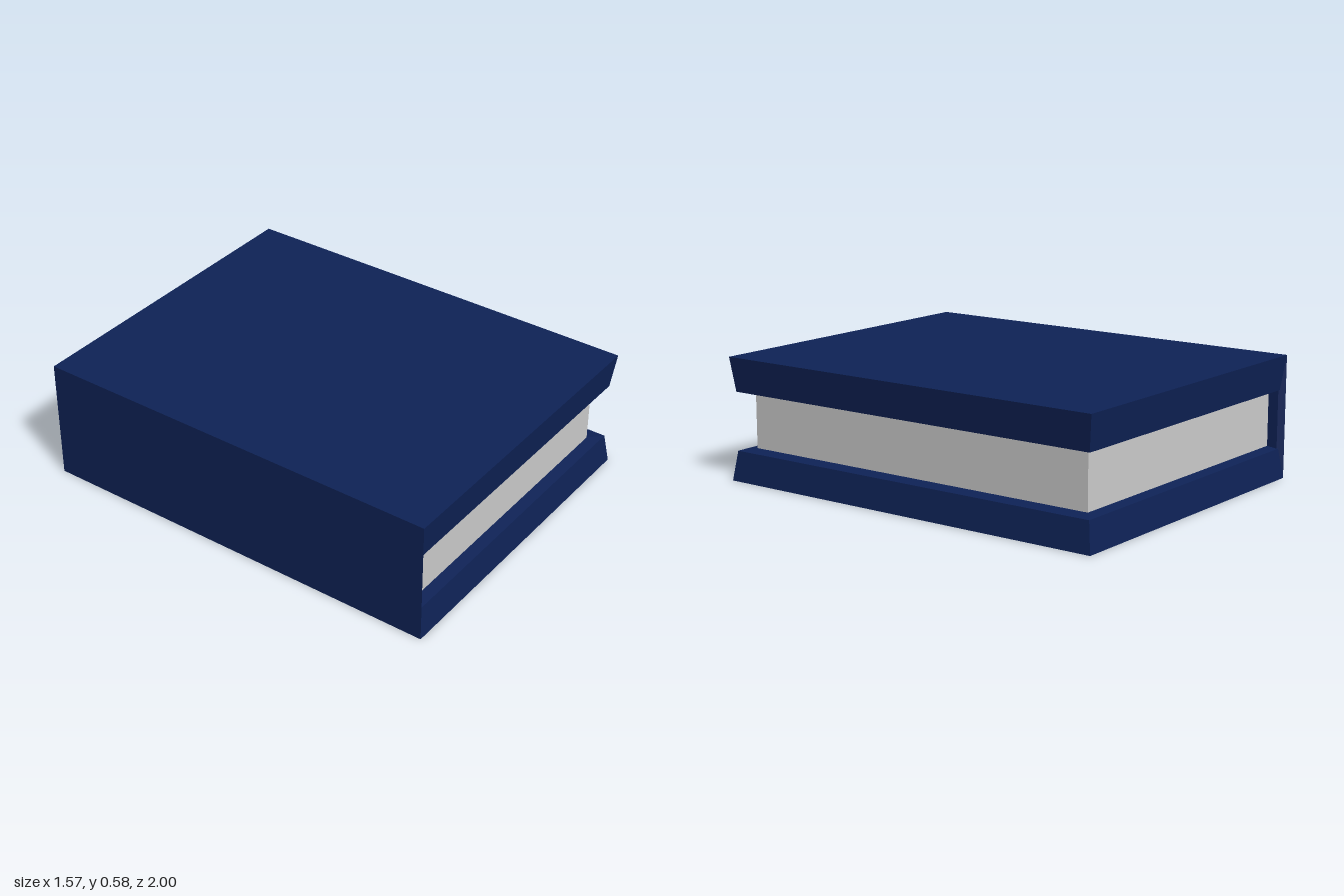
import * as THREE from 'three';

// Flat-sided solid through four-cornered rings [x, z] at rising heights
function loft(rings) {
  const pos = [];
  const quad = (a, b, c, d) => pos.push(...a, ...b, ...c, ...a, ...c, ...d);
  const pts = rings.map(({ y, corners }) => corners.map(([x, z]) => [x, y, z]));
  for (let r = 0; r < pts.length - 1; r++) {
    for (let i = 0; i < 4; i++) {
      const j = (i + 1) % 4;
      quad(pts[r][i], pts[r][j], pts[r + 1][j], pts[r + 1][i]);
    }
  }
  const [b, t] = [pts[0], pts[pts.length - 1]];
  quad(b[3], b[2], b[1], b[0]);
  quad(t[0], t[1], t[2], t[3]);
  const geo = new THREE.BufferGeometry();
  geo.setAttribute('position', new THREE.Float32BufferAttribute(pos, 3));
  geo.computeVertexNormals();
  return geo;
}

const BACK = -0.785;
const rect = (y, x1, z) => ({ y, corners: [[BACK, z], [x1, z], [x1, -z], [BACK, -z]] });

export function createModel() {
  const group = new THREE.Group();
  const coverMat = new THREE.MeshStandardMaterial({ color: 0x0e2256, name: 'navy cover' });
  const pageMat = new THREE.MeshStandardMaterial({ color: 0xcccccc, name: 'pale paper' });

  const add = (name, geo, mat) => {
    const mesh = new THREE.Mesh(geo, mat);
    mesh.name = name;
    group.add(mesh);
    return mesh;
  };

  // Thick boards whose edges lean inwards towards the pages
  add('bottomCover', loft([rect(0, 0.785, 1), rect(0.14, 0.765, 0.98), rect(0.147, 0.695, 0.925)]), coverMat);
  add('topCover', loft([rect(0.41, 0.695, 0.925), rect(0.417, 0.765, 0.98), rect(0.58, 0.785, 1)]), coverMat);

  // Spine with bevelled ends joining the two boards
  const spine = [[BACK, 1], [-0.76, 0.975], [-0.76, -0.975], [BACK, -1]];
  add('spine', loft([{ y: 0, corners: spine }, { y: 0.58, corners: spine }]), coverMat);

  // Block of pages
  const pages = add('pages', new THREE.BoxGeometry(1.455, 0.27, 1.85), pageMat);
  pages.position.set(-0.0325, 0.2785, 0);

  return group;
}
